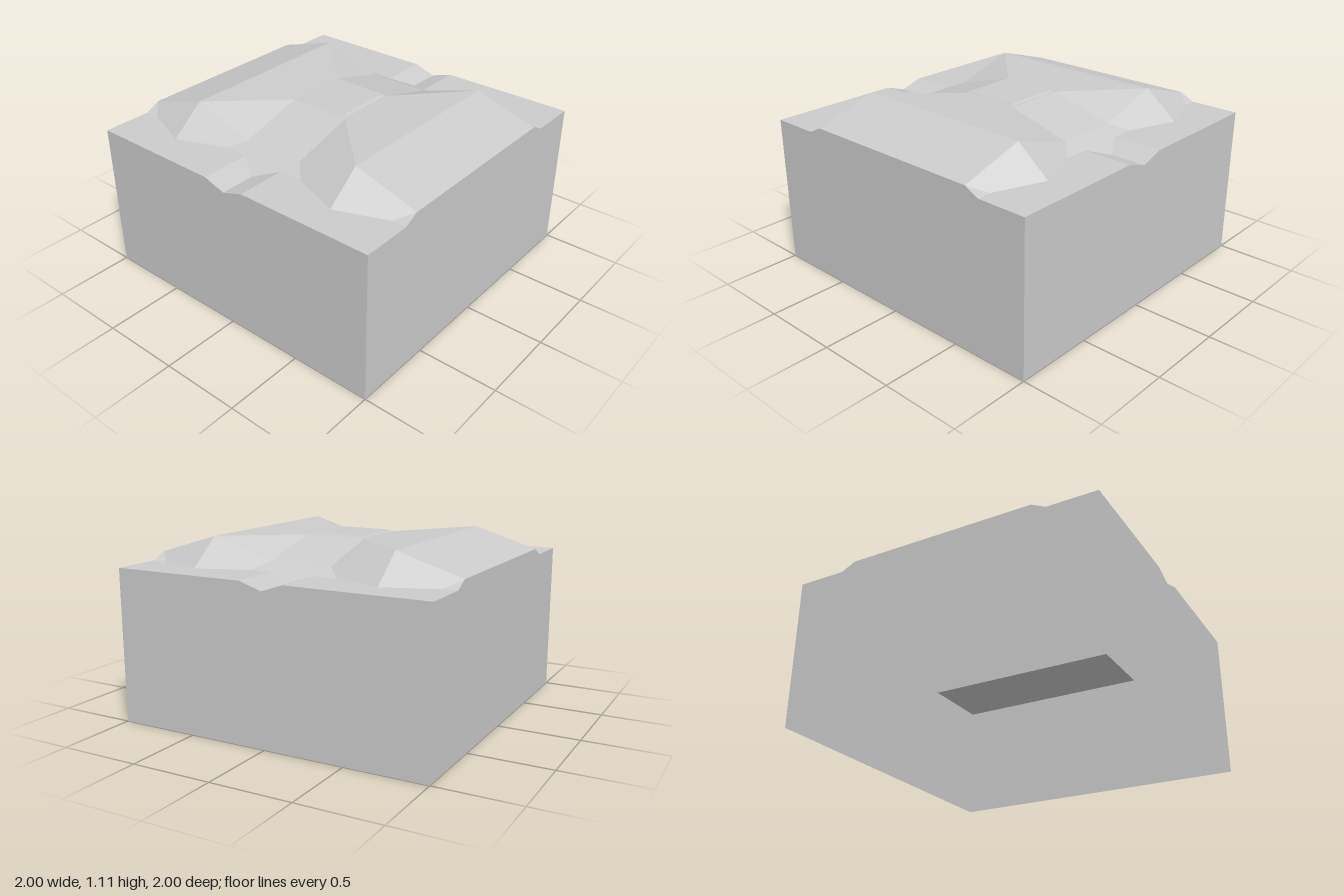
import * as THREE from 'three';

const mat = new THREE.MeshStandardMaterial({ color: 0xcccccc, flatShading: true, side: THREE.DoubleSide });

const LEVEL = 0.945; // height of the flat banks
const BED = 0.9;     // bottom of the stream channel
const FOOT = 0.79;   // where the hill meets its base
const SADDLE = 0.99; // low edges of the hill

function mesh(name, geometry) {
  const m = new THREE.Mesh(geometry, mat);
  m.name = name;
  return m;
}

// Faceted surface from a grid of heights; flip(i, j) picks the cell diagonal
function heightField(xs, zs, height, flip) {
  const pos = [], index = [], n = xs.length;
  for (const z of zs) for (const x of xs) pos.push(x, height(x, z), z);
  for (let j = 0; j < zs.length - 1; j++) {
    for (let i = 0; i < n - 1; i++) {
      const a = j * n + i, b = a + 1, c = a + n, d = c + 1;
      if (flip(xs[i] + xs[i + 1], zs[j] + zs[j + 1])) index.push(a, c, b, b, c, d);
      else index.push(a, c, d, a, d, b);
    }
  }
  const g = new THREE.BufferGeometry();
  g.setAttribute('position', new THREE.Float32BufferAttribute(pos, 3));
  g.setIndex(index);
  const flat = g.toNonIndexed();
  flat.computeVertexNormals();
  return flat;
}

// Upright sheet with a shaped top edge
function wall(top) {
  const pts = [[-1, 0], [1, 0], ...top].map(([x, y]) => new THREE.Vector2(x, y));
  return new THREE.ShapeGeometry(new THREE.Shape(pts));
}

export function createModel() {
  const model = new THREE.Group();

  // Hill: two ridges along x with a saddle between them, falling below the banks
  const grid = [-1, -0.6, -0.2, 0.2, 0.6, 1];
  const hillHeight = (x, z) => {
    const ax = Math.abs(x), az = Math.abs(z);
    if (ax === 1) return FOOT;
    if (az === 0.6) return 1.112;
    return az === 0.2 && ax === 0.2 ? 1.1 : SADDLE;
  };
  // Diagonals run outward from the centre, except in the four corner cells
  const hillFlip = (sx, sz) => {
    const corner = Math.abs(sx) > 1.2 && Math.abs(sz) > 1.2;
    return (sx * sz < 0) !== corner;
  };
  model.add(mesh('hill', heightField(grid, grid, hillHeight, hillFlip)));

  // Flat base closing the hill from below
  const base = mesh('hillBase', new THREE.PlaneGeometry(2, 2).rotateX(Math.PI / 2));
  base.position.y = FOOT;
  model.add(base);

  // Flat banks on both sides, each cut by a V-shaped stream channel
  const bankZ = [-1, -0.14, 0, 0.14, 1];
  const bankHeight = (x, z) => (z === 0 ? BED : LEVEL);
  model.add(mesh('leftBank', heightField([0.62, 1], bankZ, bankHeight, () => false)));
  model.add(mesh('rightBank', heightField([-1, -0.62], bankZ, bankHeight, () => false)));

  // Four walls, open underneath
  const hillTop = [[1, LEVEL], [0.69, LEVEL], [0.6, SADDLE], [-0.6, SADDLE], [-0.69, LEVEL], [-1, LEVEL]];
  const streamTop = [[1, LEVEL], [0.14, LEVEL], [0, BED], [-0.14, LEVEL], [-1, LEVEL]];
  ['frontWall', 'leftWall', 'backWall', 'rightWall'].forEach((name, i) => {
    const g = wall(i % 2 ? streamTop : hillTop);
    g.translate(0, 0, 1).rotateY(i * Math.PI / 2);
    model.add(mesh(name, g));
  });

  // Thin slab on the summit with sloping edges
  const slabGeometry = new THREE.CylinderGeometry(0.175 * Math.SQRT2, 0.19 * Math.SQRT2, 0.014, 4);
  const slab = mesh('summitSlab', slabGeometry.rotateY(Math.PI / 4));
  slab.position.set(-0.003, 1.104, 0);
  model.add(slab);

  return model;
}
